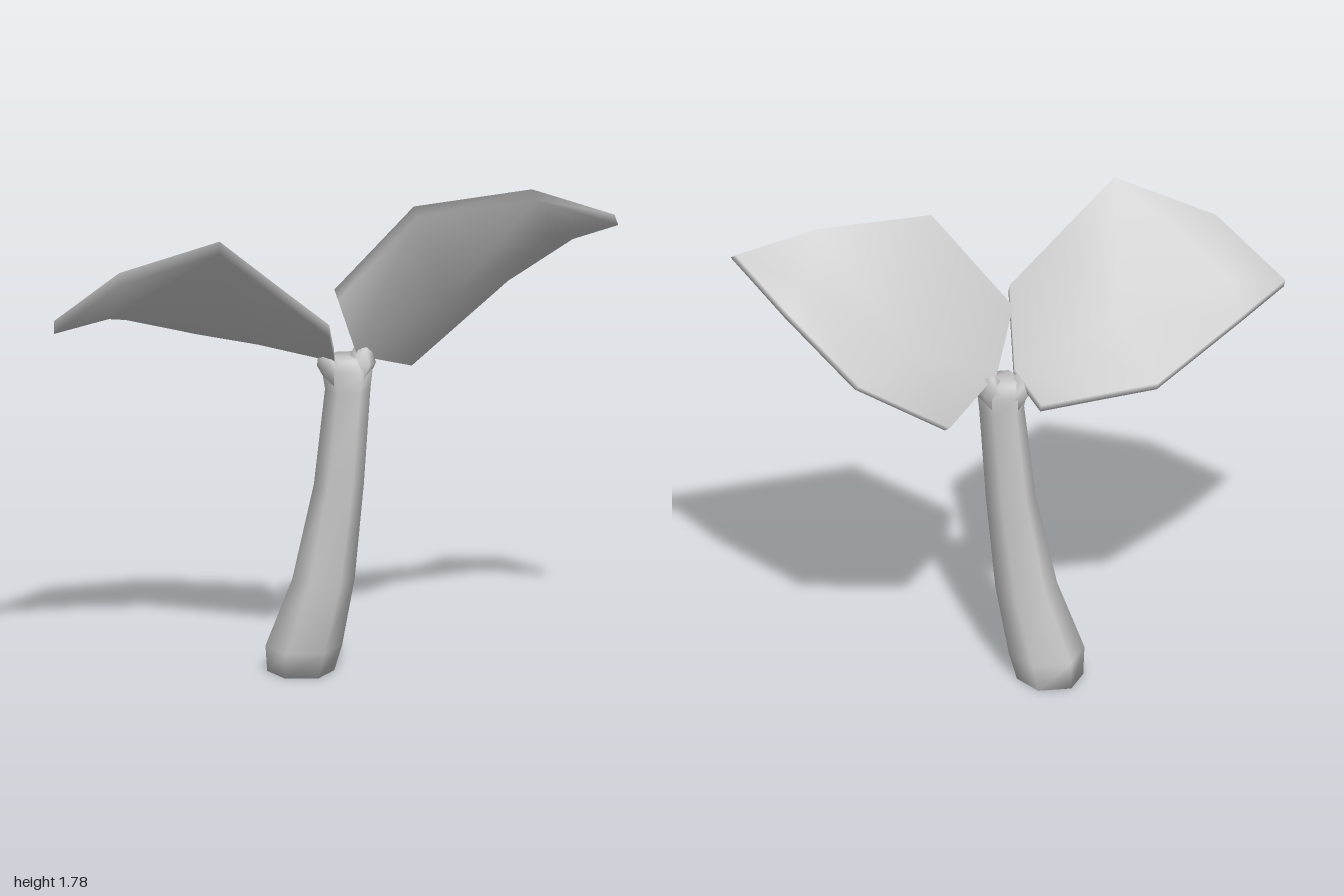
import * as THREE from 'three';

const SIDES = 6;

function meshFrom(name, positions, index, material) {
  const geometry = new THREE.BufferGeometry();
  geometry.setAttribute('position', new THREE.Float32BufferAttribute(positions, 3));
  geometry.setIndex(index);
  geometry.computeVertexNormals();
  const mesh = new THREE.Mesh(geometry, material);
  mesh.name = name;
  return mesh;
}

// Smooth six-sided tube through rings [x, y, z, radiusX, radiusZ], closed at both ends
function loft(name, rings, material) {
  const pos = [], index = [];
  for (const [x, y, z, rx, rz] of rings) {
    for (let k = 0; k < SIDES; k++) {
      const a = (k / SIDES) * Math.PI * 2;
      pos.push(x + rx * Math.cos(a), y, z + rz * Math.sin(a));
    }
  }
  for (let i = 0; i < rings.length - 1; i++) {
    for (let k = 0; k < SIDES; k++) {
      const a = i * SIDES + k, b = i * SIDES + ((k + 1) % SIDES);
      index.push(a, a + SIDES, b, b, a + SIDES, b + SIDES);
    }
  }
  const top = (rings.length - 1) * SIDES;
  for (let k = 1; k < SIDES - 1; k++) {
    index.push(0, k, k + 1);
    index.push(top, top + k + 1, top + k);
  }
  return meshFrom(name, pos, index, material);
}

// Thick cupped leaf: rows of [edge, rib, edge] closing in a tip
function leaf(name, rows, tip, up, material) {
  const points = [...rows.flat(), tip];
  const n = points.length, half = 0.024, pos = [], index = [];
  for (const side of [1, -1]) {
    for (const p of points) pos.push(...p.map((v, i) => v + side * half * up[i]));
  }
  const at = (i, j) => (i === rows.length ? n - 1 : i * 3 + j);
  const bothFaces = (a, b, c) => {
    if (a === b || b === c || a === c) return;
    index.push(a, b, c, a + n, c + n, b + n);
  };
  for (let i = 0; i < rows.length; i++) {
    for (let j = 0; j < 2; j++) {
      const a = at(i, j), b = at(i, j + 1), c = at(i + 1, j), d = at(i + 1, j + 1);
      bothFaces(a, c, b);
      bothFaces(b, c, d);
    }
  }
  // Rim around the outline
  const steps = rows.map((_, i) => i);
  const rim = [
    ...steps.map((i) => at(i, 0)), n - 1,
    ...steps.reverse().map((i) => at(i, 2)), at(0, 1),
  ];
  rim.forEach((a, k) => {
    const b = rim[(k + 1) % rim.length];
    index.push(a + n, b + n, b, a + n, b, a);
  });
  return meshFrom(name, pos, index, material);
}

export function createModel() {
  const group = new THREE.Group();
  group.name = 'sprout';
  const gray = new THREE.MeshStandardMaterial({ color: 0xcccccc });
  gray.name = 'plain gray';

  // Curved stem, widest near the foot
  group.add(loft('stem', [
    [-0.115, 0.003, -0.1, 0.118, 0.12],
    [-0.105, 0.1, -0.083, 0.135, 0.138],
    [-0.037, 0.35, -0.055, 0.11, 0.116],
    [0.017, 0.7, -0.045, 0.088, 0.104],
    [0.048, 1.05, -0.04, 0.08, 0.087],
    [0.046, 1.12, -0.044, 0.09, 0.083],
    [0.04, 1.165, -0.045, 0.055, 0.075],
  ], gray));

  // Short tapered forks running into the leaves
  group.add(loft('leftFork', [
    [0.06, 1.06, -0.045, 0.05, 0.07],
    [0.095, 1.14, -0.055, 0.053, 0.068],
    [0.1, 1.2, -0.065, 0.025, 0.045],
  ], gray));
  group.add(loft('rightFork', [
    [0.03, 1.06, -0.045, 0.05, 0.07],
    [-0.01, 1.13, -0.05, 0.05, 0.08],
    [-0.03, 1.18, -0.045, 0.025, 0.065],
  ], gray));

  // Raised leaf on the model's left
  group.add(leaf('leftLeaf', [
    [[0.005, 1.41, 0.025], [0.075, 1.185, -0.05], [0.275, 1.09, -0.25]],
    [[0.28, 1.74, 0.13], [0.4, 1.35, -0.155], [0.62, 1.355, -0.395]],
    [[0.7, 1.77, 0.03], [0.77, 1.61, -0.09], [0.84, 1.56, -0.2]],
  ], [0.99, 1.68, 0.05], [-0.24, 0.58, -0.78], gray));

  // Drooping leaf on the model's right
  group.add(leaf('rightLeaf', [
    [[-0.06, 1.14, -0.24], [0.0, 1.175, -0.02], [-0.03, 1.35, 0.285]],
    [[-0.26, 1.175, -0.255], [-0.2, 1.25, -0.01], [-0.22, 1.515, 0.34]],
    [[-0.47, 1.21, -0.27], [-0.38, 1.33, 0.04], [-0.42, 1.69, 0.395]],
    [[-0.8, 1.34, -0.06], [-0.8, 1.38, 0.12], [-0.77, 1.555, 0.31]],
  ], [-0.995, 1.345, 0.18], [0, 0.8, -0.59], gray));

  return group;
}
